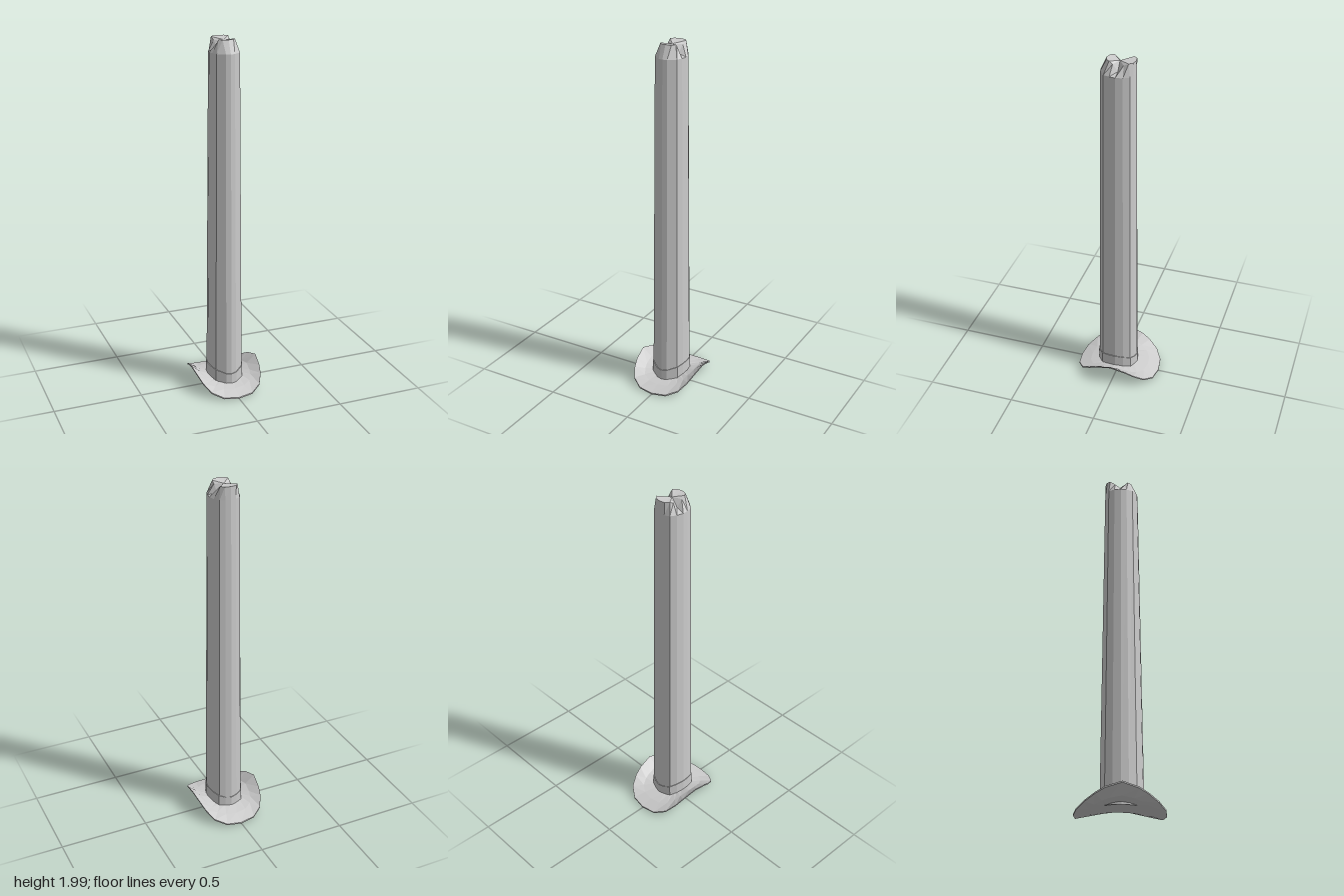
import * as THREE from 'three';

// Mirror a half outline (front centre, round the left side, to back centre) into a closed ring.
function mirrorRing(half) {
  const other = half.slice(1, -1).reverse().map(([x, y, z]) => [-x, y, z]);
  return [...half, ...other];
}

// Skin a list of rings with equal point counts.
function loft(name, rings, material) {
  const n = rings[0].length;
  const index = [];
  for (let r = 0; r < rings.length - 1; r++) {
    for (let i = 0; i < n; i++) {
      const a = r * n + i, b = r * n + (i + 1) % n;
      index.push(a, b, b + n, a, b + n, a + n);
    }
  }
  const geometry = new THREE.BufferGeometry();
  geometry.setAttribute('position', new THREE.Float32BufferAttribute(rings.flat(2), 3));
  geometry.setIndex(index);
  geometry.computeVertexNormals();
  const mesh = new THREE.Mesh(geometry, material);
  mesh.name = name;
  return mesh;
}

// Ring collapsed to one point, used to close a loft.
const point = (n, y) => Array.from({ length: n }, () => [0, y, 0]);
// Scale a ring in plan and set its height by a rule.
const scaled = (ring, sx, sz, height) =>
  ring.map(([x, y, z]) => [x * sx, height(x, y, z), z * sz]);

export function createModel() {
  const group = new THREE.Group();
  group.name = 'tallHat';
  const material = new THREE.MeshStandardMaterial({ color: 0xcccccc, flatShading: true });

  // Saddle-shaped brim: low at front and back, curled up at the sides
  const quarter = [[0, 0.018, 0.24], [0.085, 0.025, 0.228], [0.145, 0.05, 0.189],
    [0.175, 0.085, 0.135], [0.188, 0.112, 0.086]];
  const backQuarter = quarter.map(([x, y, z]) => [x, y, -z]).reverse();
  const edge = mirrorRing([...quarter, [0.199, 0.138, 0], ...backQuarter]);
  const under = 0.008;
  group.add(loft('brim', [
    point(edge.length, 0.05),
    scaled(edge, 0.42, 0.42, (x, y) => 0.04 + 0.1 * y),
    scaled(edge, 0.72, 0.72, (x, y) => 0.02 + 0.42 * y),
    scaled(edge, 1, 1, (x, y) => y - under),
    edge,
    scaled(edge, 0.72, 0.72, (x, y) => 0.033 + 0.42 * y),
    scaled(edge, 0.42, 0.42, (x, y) => 0.055 + 0.1 * y),
  ], material));

  // Crown: tall tapering tube with a pinched, peanut-shaped top
  const foot = mirrorRing([[0, 0, 0.125], [0.03, 0, 0.118], [0.079, 0, 0.082], [0.093, 0, 0.04],
    [0.098, 0, 0], [0.089, 0, -0.045], [0.069, 0, -0.084], [0.035, 0, -0.098], [0, 0, -0.106]]);
  const rim = mirrorRing([[0, 2, 0.07], [0.03, 2, 0.062], [0.045, 2, 0.043], [0.043, 1.985, 0.025],
    [0.036, 1.945, 0], [0.043, 1.985, -0.032], [0.048, 2, -0.06], [0.032, 2, -0.08], [0, 2, -0.085]]);
  group.add(loft('crown', [
    scaled(foot, 1, 1, () => 0.05),
    scaled(foot, 0.82, 0.82, () => 1.93),
    rim,
    point(foot.length, 1.99),
  ], material));

  // Hat band, rising a little at the sides
  const bandTop = (x) => 0.11 + 0.03 * (x / 0.098) ** 2;
  group.add(loft('hatBand', [
    scaled(foot, 1.025, 1.025, () => 0.045),
    scaled(foot, 1.025, 1.025, bandTop),
    scaled(foot, 0.98, 0.98, bandTop),
  ], material));

  return group;
}
